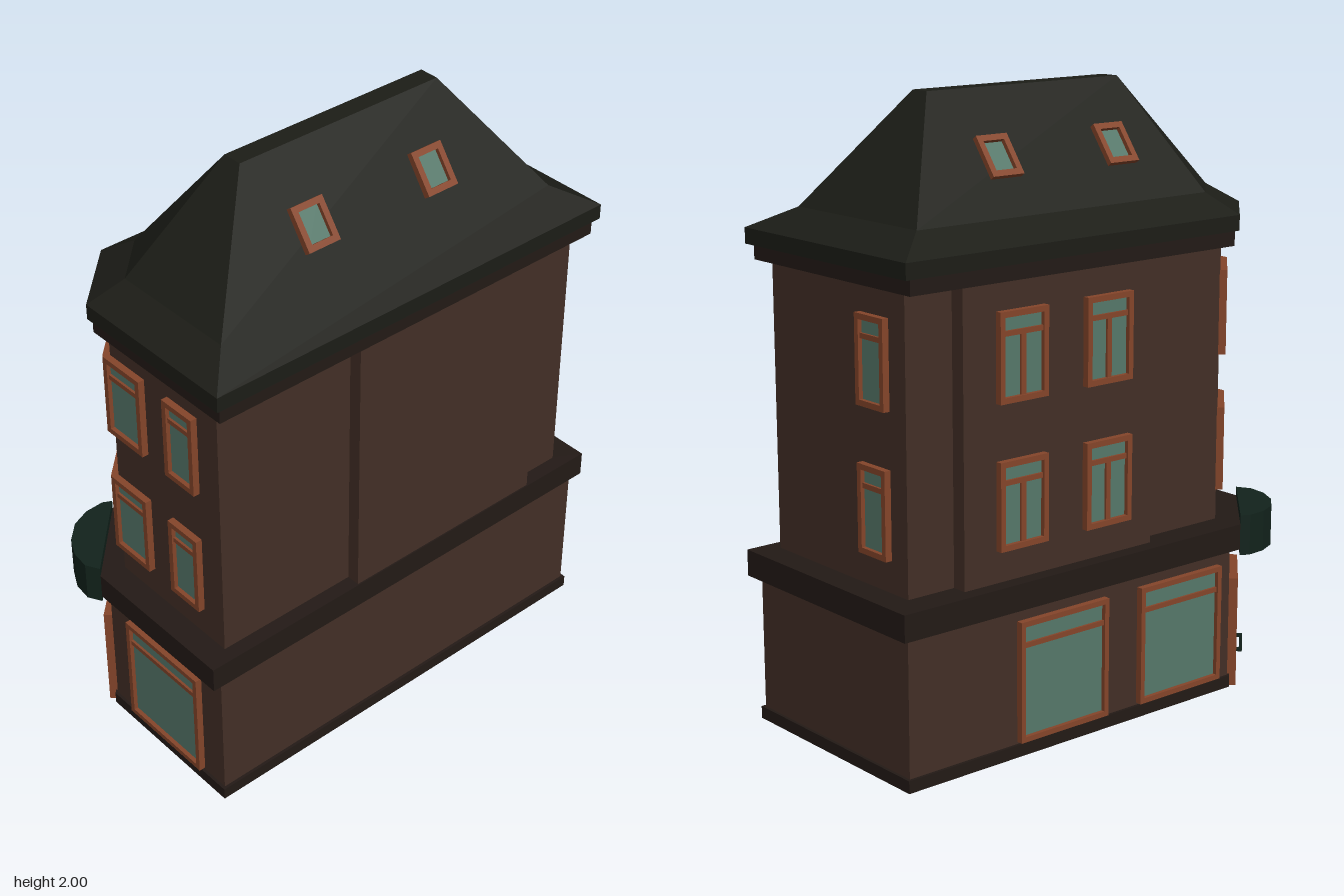
import * as THREE from 'three';

const mat = (color, extra = {}) => {
  const m = new THREE.MeshStandardMaterial({ color, flatShading: true });
  return Object.assign(m, extra);
};

export function createModel() {
  const house = new THREE.Group();
  house.name = 'cornerHouse';
  const wall = mat(0x432f26), trim = mat(0x231a16), roofMat = mat(0x1c1d17);
  const frameMat = mat(0x85452a), glassMat = mat(0x56786a), green = mat(0x12231c);

  const add = (parent, name, geometry, material, x = 0, y = 0, z = 0) => {
    const mesh = new THREE.Mesh(geometry, material);
    mesh.name = name;
    mesh.position.set(x, y, z);
    parent.add(mesh);
    return mesh;
  };
  const box = (parent, name, w, h, d, material, x, y, z) =>
    add(parent, name, new THREE.BoxGeometry(w, h, d), material, x, y, z);

  // Upright prism from a plan outline of [x, z] points
  const slab = (name, plan, y0, y1, material) => {
    const shape = new THREE.Shape(plan.map(([x, z]) => new THREE.Vector2(x, -z)));
    const g = new THREE.ExtrudeGeometry(shape, { depth: y1 - y0, bevelEnabled: false });
    g.rotateX(-Math.PI / 2);
    return add(house, name, g, material, 0, y0, 0);
  };
  // Rectangle with its front left corner cut off
  const cutPlan = (x0, x1, z0, z1, cutX, cutZ) =>
    [[x0, cutZ], [cutX, z1], [x1, z1], [x1, z0], [x0, z0]];

  // Rectangular frame standing on y = 0 and facing +z
  const frameGeometry = (w, h, t, d) => {
    const rect = (Type, a, b, c, e) => new Type([[a, b], [c, b], [c, e], [a, e]].map(p => new THREE.Vector2(...p)));
    const s = rect(THREE.Shape, -w / 2, 0, w / 2, h);
    s.holes.push(rect(THREE.Path, -w / 2 + t, t, w / 2 - t, h - t));
    return new THREE.ExtrudeGeometry(s, { depth: d, bevelEnabled: false });
  };
  const place = (group, x, y, z, angle) => {
    group.position.set(x, y, z);
    group.rotation.y = angle;
    house.add(group);
    return group;
  };
  const makeWindow = (name, w, h, t, transom, mullion) => {
    const g = new THREE.Group();
    g.name = name;
    add(g, 'windowFrame', frameGeometry(w, h, t, 0.024), frameMat, 0, 0, -0.002);
    box(g, 'windowGlass', w - 2 * t, h - 2 * t, 0.008, glassMat, 0, h / 2, 0.004);
    if (transom) box(g, 'transom', w - 2 * t, 0.016, 0.016, frameMat, 0, transom, 0.008);
    if (mullion) box(g, 'mullion', 0.018, transom - t, 0.016, frameMat, 0, (transom + t) / 2, 0.008);
    return g;
  };

  // Ground floor, plinth and belt course
  slab('groundFloor', cutPlan(-0.365, 0.39, -0.765, 0.75, -0.17, 0.555), 0.0, 0.5, wall);
  slab('plinth', cutPlan(-0.375, 0.4, -0.775, 0.76, -0.17, 0.555), 0, 0.04, trim);
  slab('beltCourse', cutPlan(-0.41, 0.4, -0.81, 0.785, -0.175, 0.555), 0.485, 0.57, trim);

  // Upper floors, with a shallow pier on each long side
  slab('upperFloors', [
    [-0.31, 0.54], [-0.15, 0.7], [0.35, 0.7], [0.35, 0.2], [0.395, 0.2], [0.395, -0.55],
    [0.35, -0.55], [0.35, -0.72], [-0.31, -0.72], [-0.31, -0.55], [-0.36, -0.55], [-0.36, 0.2], [-0.31, 0.2],
  ], 0.56, 1.49, wall);

  // Cornice and eaves
  slab('cornice', cutPlan(-0.37, 0.41, -0.745, 0.735, -0.175, 0.54), 1.48, 1.53, trim);
  const eave = cutPlan(-0.385, 0.42, -0.77, 0.75, -0.18, 0.545);
  slab('eaves', eave, 1.53, 1.58, roofMat);

  // Hipped roof lofted through three outlines
  const rings = [
    [1.58, eave],
    [1.645, cutPlan(-0.28, 0.305, -0.65, 0.64, -0.135, 0.495)],
    [2, cutPlan(-0.016, 0.051, -0.405, 0.355, -0.016, 0.355)],
  ].map(([y, plan]) => plan.map(([x, z]) => [x, y, z]));
  const tri = [];
  for (let r = 0; r < 2; r++) {
    for (let i = 0; i < 5; i++) {
      const j = (i + 1) % 5, a = rings[r], b = rings[r + 1];
      tri.push(...a[i], ...a[j], ...b[j], ...a[i], ...b[j], ...b[i]);
    }
  }
  for (let i = 1; i < 4; i++) tri.push(...rings[2][0], ...rings[2][i], ...rings[2][i + 1]);
  const roof = new THREE.BufferGeometry();
  roof.setAttribute('position', new THREE.Float32BufferAttribute(tri, 3));
  roof.computeVertexNormals();
  add(house, 'roof', roof, roofMat);

  // Skylights lying on both long slopes
  for (const side of [-1, 1]) {
    for (const z of [0.21, -0.255]) {
      const g = makeWindow('skylight', 0.118, 0.14, 0.02);
      g.children.forEach(c => { c.position.y -= 0.07; });
      g.rotation.order = 'YXZ';
      place(g, 0.0175 + side * 0.174, 1.803, z, side * Math.PI / 2);
      g.rotation.x = -Math.atan2(0.262, 0.355);
    }
  }

  // Upper windows: front, cut corner, left long side and back
  for (const y of [0.67, 1.12]) {
    const h = 0.275, t = 0.018, bar = 0.208;
    place(makeWindow('frontWindow', 0.172, h, t, bar), -0.072, y, 0.7, 0);
    place(makeWindow('frontWindow', 0.136, h, t, bar), 0.19, y, 0.7, 0);
    place(makeWindow('cornerWindow', 0.236, h, t, bar), -0.23, y, 0.62, -Math.PI / 4);
    place(makeWindow('backWindow', 0.136, h, t, bar), -0.165, y, -0.72, Math.PI);
    for (const z of [-0.335, 0.005])
      place(makeWindow('sideWindow', 0.185, h, t, bar, true), -0.36, y, z, -Math.PI / 2);
  }

  // Shop windows
  place(makeWindow('shopWindow', 0.356, 0.388, 0.017, 0.31), 0.113, 0.047, 0.75, 0);
  for (const z of [-0.175, 0.32])
    place(makeWindow('shopWindow', 0.356, 0.388, 0.017, 0.31), -0.365, 0.047, z, -Math.PI / 2);

  // Corner door with glass, rails and a bracket handle
  const door = new THREE.Group();
  door.name = 'cornerDoor';
  for (const s of [-1, 1]) box(door, 'doorJamb', 0.022, 0.37, 0.034, frameMat, s * 0.118, 0.185, 0.012);
  box(door, 'doorLintel', 0.258, 0.022, 0.034, frameMat, 0, 0.361, 0.012);
  add(door, 'doorLeaf', frameGeometry(0.214, 0.35, 0.024, 0.018), green);
  box(door, 'doorGlass', 0.166, 0.32, 0.008, glassMat, 0, 0.175, 0.006);
  box(door, 'doorRail', 0.166, 0.018, 0.014, green, 0, 0.066, 0.01);
  box(door, 'doorHandle', 0.012, 0.06, 0.01, green, -0.085, 0.135, 0.043);
  for (const y of [0.11, 0.16]) box(door, 'handleArm', 0.012, 0.01, 0.03, green, -0.085, y, 0.032);
  place(door, -0.2675, 0, 0.6525, -Math.PI / 4);

  // Rounded canopy above the door
  slab('canopy', [
    [-0.41, 0.555], [-0.425, 0.585], [-0.422, 0.65], [-0.395, 0.715], [-0.34, 0.77],
    [-0.275, 0.803], [-0.21, 0.81], [-0.165, 0.785],
  ], 0.465, 0.6, green);

  return house;
}
